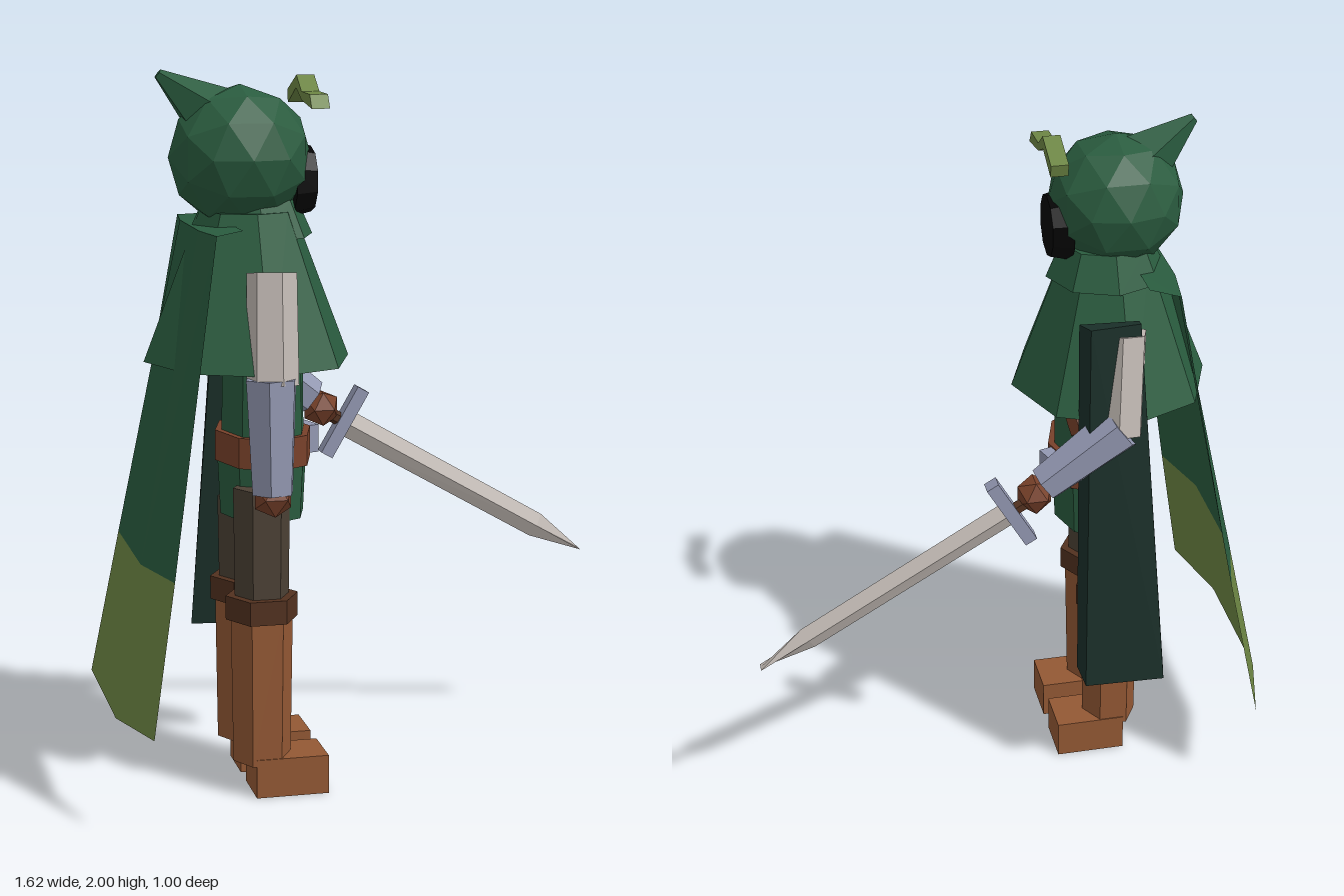
import * as THREE from 'three';

const mat = (name, color, side = THREE.FrontSide) => {
  const m = new THREE.MeshStandardMaterial({ color, flatShading: true, side });
  m.name = name;
  return m;
};
const V = (x, y, z) => new THREE.Vector3(x, y, z);

export function createModel() {
  const green = mat('green cloth', 0x2a5c3f, THREE.DoubleSide);
  const darkGreen = mat('dark green cloth', 0x1b302a, THREE.DoubleSide);
  const olive = mat('olive trim', 0x6d8644, THREE.DoubleSide);
  const metal = mat('blue steel', 0x9398b2);
  const cream = mat('pale grey', 0xc2bab4);
  const leather = mat('boot leather', 0x935834);
  const belt = mat('belt leather', 0x78412a);
  const darkBrown = mat('dark leather', 0x52311f);
  const trousers = mat('trousers', 0x4c4135);
  const black = mat('black', 0x050505);

  const body = new THREE.Group();
  body.name = 'figure';
  const add = (name, geo, material, pos = [0, 0, 0], rot = [0, 0, 0], scale = [1, 1, 1]) => {
    const m = new THREE.Mesh(geo, material);
    m.name = name;
    m.position.set(...pos);
    m.rotation.set(...rot);
    m.scale.set(...scale);
    body.add(m);
    return m;
  };
  const box = (name, w, h, d, material, pos, rot) => add(name, new THREE.BoxGeometry(w, h, d), material, pos, rot);
  // Vertical faceted ring, r1 at the top
  const ring = (name, r1, r2, y1, y2, n, material, x, z, sz = 1) =>
    add(name, new THREE.CylinderGeometry(r1, r2, y1 - y2, n), material, [x, (y1 + y2) / 2, z], [0, 0, 0], [1, 1, sz]);
  // Tapered prism from a to b
  const limb = (name, a, b, r1, r2, n, material) => {
    const A = V(...a), B = V(...b), d = B.clone().sub(A);
    const m = add(name, new THREE.CylinderGeometry(r2, r1, d.length(), n), material);
    m.position.copy(A).add(B).multiplyScalar(0.5);
    m.quaternion.setFromUnitVectors(V(0, 1, 0), d.normalize());
    return m;
  };
  // Sheet or tube through rows of points
  const loft = (name, rows, material, closed = false) => {
    const p = [], n = rows[0].length;
    for (let i = 0; i < rows.length - 1; i++)
      for (let j = 0; j < (closed ? n : n - 1); j++) {
        const k = (j + 1) % n;
        const [a, b, c, d] = [rows[i][j], rows[i][k], rows[i + 1][k], rows[i + 1][j]];
        p.push(...a, ...d, ...c, ...a, ...c, ...b);
      }
    const g = new THREE.BufferGeometry();
    g.setAttribute('position', new THREE.Float32BufferAttribute(p, 3));
    g.computeVertexNormals();
    return add(name, g, material);
  };

  // Legs, boots and feet
  for (const s of [-1, 1]) {
    const x = 0.11 * s - 0.012, z = -0.045;
    ring('trouserLeg', 0.08, 0.076, s < 0 ? 0.87 : 0.8, 0.54, 6, trousers, x, z);
    ring('boot', 0.088, 0.082, 0.52, 0.09, 6, leather, x, z);
    ring('bootCuff', 0.102, 0.102, 0.567, 0.5, 6, darkBrown, x, z);
    box('foot', 0.148, 0.11, 0.205, leather, [x, 0.055, 0.027]);
  }

  // Tunic, belt, buckle and chest strap
  ring('tunic', 0.165, 0.172, 1.4, 0.95, 8, green, 0, -0.015, 0.68);
  ring('tunicSkirt', 0.172, 0.16, 0.95, 0.77, 8, green, 0.012, -0.015, 0.74);
  ring('belt', 0.188, 0.188, 1.01, 0.925, 8, belt, 0, -0.015, 0.72);
  box('buckle', 0.08, 0.078, 0.04, metal, [0.062, 0.967, 0.122], [0, 0.3, 0]);
  box('chestStrap', 0.06, 0.3, 0.03, belt, [0.09, 1.25, 0.09], [0, 0.35, 0.6]);

  // Shoulder capelet
  ring('capelet', 0.145, 0.32, 1.62, 1.21, 8, green, -0.012, -0.062, 0.9);
  ring('collar', 0.13, 0.175, 1.65, 1.55, 8, green, 0, -0.05);

  // Cape with a bowed outline and olive hem
  const arc = (w, y, z, bow, drop = 0) => [-1, -0.48, 0.48, 1].map(t => {
    const k = Math.abs(t) < 1 ? 1 : 0;
    return [t * w - 0.006, y - drop * k, z - bow * k];
  });
  const top = arc(0.287, 1.58, -0.2, 0.02);
  const band = arc(0.405, 0.69, -0.34, 0.055);
  loft('cape', [arc(0.24, 1.588, -0.12, 0), top, band], green);
  loft('capeHem', [band, arc(0.472, 0.287, -0.41, 0.064, 0.012)], olive);

  // Side drape over the left arm
  const drapeTop = [[0.228, 1.5, 0.078], [0.298, 1.512, 0.06], [0.285, 1.512, -0.085], [0.24, 1.5, -0.09]];
  const drapeHem = [[0.25, 0.375, 0.088], [0.335, 0.36, 0.08], [0.345, 0.36, -0.155], [0.3, 0.37, -0.165]];
  loft('sideDrape', [drapeTop, drapeHem], darkGreen, true);
  for (const d of [drapeTop, drapeHem]) loft('sideDrapeEnd', [[d[0], d[1]], [d[3], d[2]]], darkGreen);

  // Hanging right arm
  limb('rightUpperArm', [-0.244, 1.475, -0.043], [-0.287, 1.18, -0.05], 0.067, 0.07, 6, cream);
  limb('rightBracer', [-0.29, 1.2, -0.055], [-0.294, 0.89, -0.052], 0.074, 0.06, 6, metal);
  add('rightHand', new THREE.IcosahedronGeometry(0.058, 0), belt, [-0.295, 0.88, -0.052]);

  // Left arm reaching forward
  limb('leftUpperArm', [0.24, 1.47, -0.05], [0.285, 1.18, -0.03], 0.066, 0.066, 6, cream);
  limb('leftBracer', [0.288, 1.2, -0.03], [0.278, 1.035, 0.19], 0.074, 0.056, 6, metal);
  add('leftHand', new THREE.IcosahedronGeometry(0.057, 0), belt, [0.278, 1.005, 0.22]);

  // Sword: ridged blade with a chisel tip, cross guard and grip
  const sword = new THREE.Group();
  sword.name = 'sword';
  const section = (y, w) => [[0, y, w], [0.017, y, 0], [0, y, -w], [-0.017, y, 0]];
  sword.add(loft('blade', [section(0.853, 0.001), section(0.69, 0.037), section(0, 0.039)], cream, true));
  sword.add(box('guard', 0.045, 0.038, 0.22, metal));
  sword.add(ring('grip', 0.02, 0.02, 0, -0.13, 6, darkBrown, 0, 0));
  sword.position.set(0.285, 0.96, 0.29);
  sword.quaternion.setFromUnitVectors(V(0, 1, 0), V(0, -0.42, 0.73).normalize());
  body.add(sword);

  // Hooded head with face opening and peak
  add('hood', new THREE.IcosahedronGeometry(0.194, 1), green, [-0.013, 1.765, -0.08], [0, 0, 0], [0.96, 1, 1.02]);
  add('faceOpening', new THREE.CylinderGeometry(0.09, 0.104, 0.06, 10), black, [-0.012, 1.7, 0.088], [Math.PI / 2, 0, 0]);
  limb('hoodPeak', [-0.01, 1.86, -0.14], [-0.01, 1.988, -0.303], 0.1, 0.014, 5, green);

  // Bent feather across the brow
  const feather = [[-0.16, 1.898], [-0.135, 1.935], [-0.04, 1.938], [0.02, 1.98], [0.13, 1.935],
    [0.122, 1.9], [0.025, 1.945], [-0.04, 1.915]].map(p => new THREE.Vector2(...p));
  add('feather', new THREE.ExtrudeGeometry(new THREE.Shape(feather), { depth: 0.05, bevelEnabled: false }),
    olive, [0, 0, 0.085]);

  // Turn the figure to its stance
  body.rotation.y = 0.95;
  body.position.set(-0.2, 0, 0.12);
  const model = new THREE.Group();
  model.name = 'cloakedSwordsman';
  model.add(body);
  return model;
}
